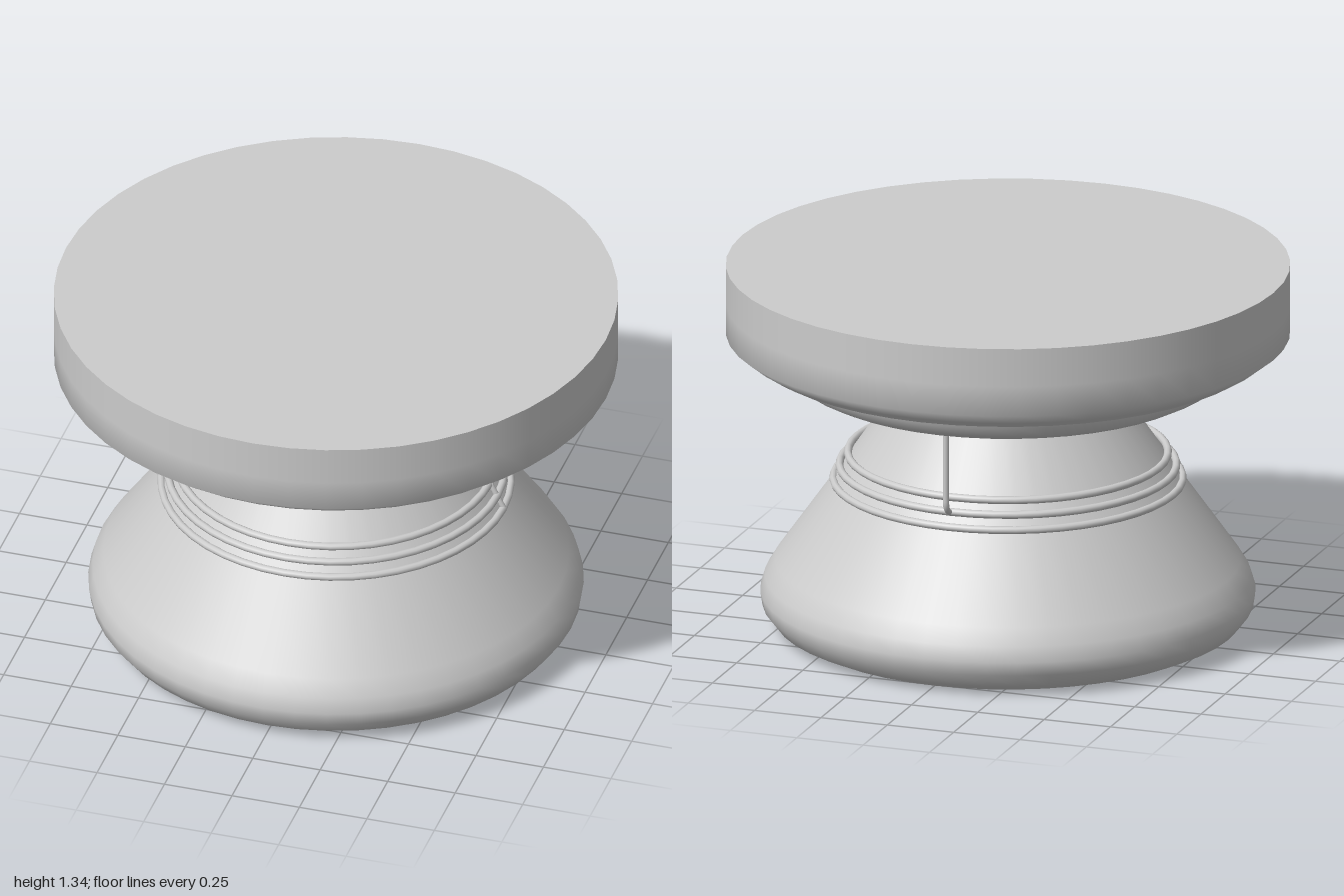
import * as THREE from 'three';
import { mergeGeometries } from 'three/addons/utils/BufferGeometryUtils.js';

const SIDES = 48;
const grey = new THREE.MeshStandardMaterial({ color: 0xcccccc });
const greyDouble = new THREE.MeshStandardMaterial({ color: 0xcccccc, side: THREE.DoubleSide });

export function createModel() {
  const model = new THREE.Group();

  const add = (name, geometry, material = grey) => {
    const mesh = new THREE.Mesh(geometry, material);
    mesh.name = name;
    model.add(mesh);
    return mesh;
  };

  // Revolve one or more profiles [radius, height]; separate profiles meet in a sharp crease
  const revolve = (...profiles) => mergeGeometries(profiles.map(profile =>
    new THREE.LatheGeometry(profile.map(([r, y]) => new THREE.Vector2(r, y)), SIDES)));

  // Broad round top with a bevelled lower edge
  add('topDisc', revolve(
    [[0, 1.02], [0.9, 1.02]],
    [[0.9, 1.02], [0.945, 1.047], [1, 1.09], [1, 1.2], [1, 1.34]],
    [[1, 1.34], [0, 1.34]]
  ));

  // Rounded ring below the disc, curling up to a recess in the middle
  add('lowerRing', revolve([
    [0.49, 1.02], [0.49, 0.97], [0.515, 0.935], [0.56, 0.912], [0.63, 0.905],
    [0.71, 0.915], [0.76, 0.94], [0.785, 0.975], [0.8, 1.025]
  ]), greyDouble);

  // Hollow conical base, open at the bottom
  add('base', revolve([
    [0.76, 0], [0.83, 0.033], [0.87, 0.085], [0.878, 0.135], [0.862, 0.19],
    [0.825, 0.25], [0.62, 0.54], [0.37, 0.905], [0.29, 1.02]
  ]), greyDouble);

  // Three wire hoops around the cone
  for (const [radius, y] of [[0.567, 0.642], [0.597, 0.597], [0.619, 0.547]]) {
    const hoop = add('hoop', new THREE.TorusGeometry(radius, 0.014, 10, SIDES));
    hoop.rotation.x = Math.PI / 2;
    hoop.position.y = y;
  }

  // Short links joining the hoops on the left side
  for (const [x, y, length] of [[0.585, 0.62, 0.05], [0.61, 0.572, 0.05]]) {
    const link = add('hoopLink', new THREE.CylinderGeometry(0.01, 0.01, length, 10));
    link.position.set(x, y, 0);
    link.rotation.z = 0.5;
  }

  // Bent rod at the back, from the middle hoop up into the lower ring
  const path = new THREE.CurvePath();
  const v = (y, z) => new THREE.Vector3(0, y, z);
  path.add(new THREE.LineCurve3(v(0.93, -0.642), v(0.65, -0.642)));
  path.add(new THREE.QuadraticBezierCurve3(v(0.65, -0.642), v(0.605, -0.642), v(0.595, -0.59)));
  add('backRod', new THREE.TubeGeometry(path, 40, 0.011, 10), greyDouble);

  return model;
}
